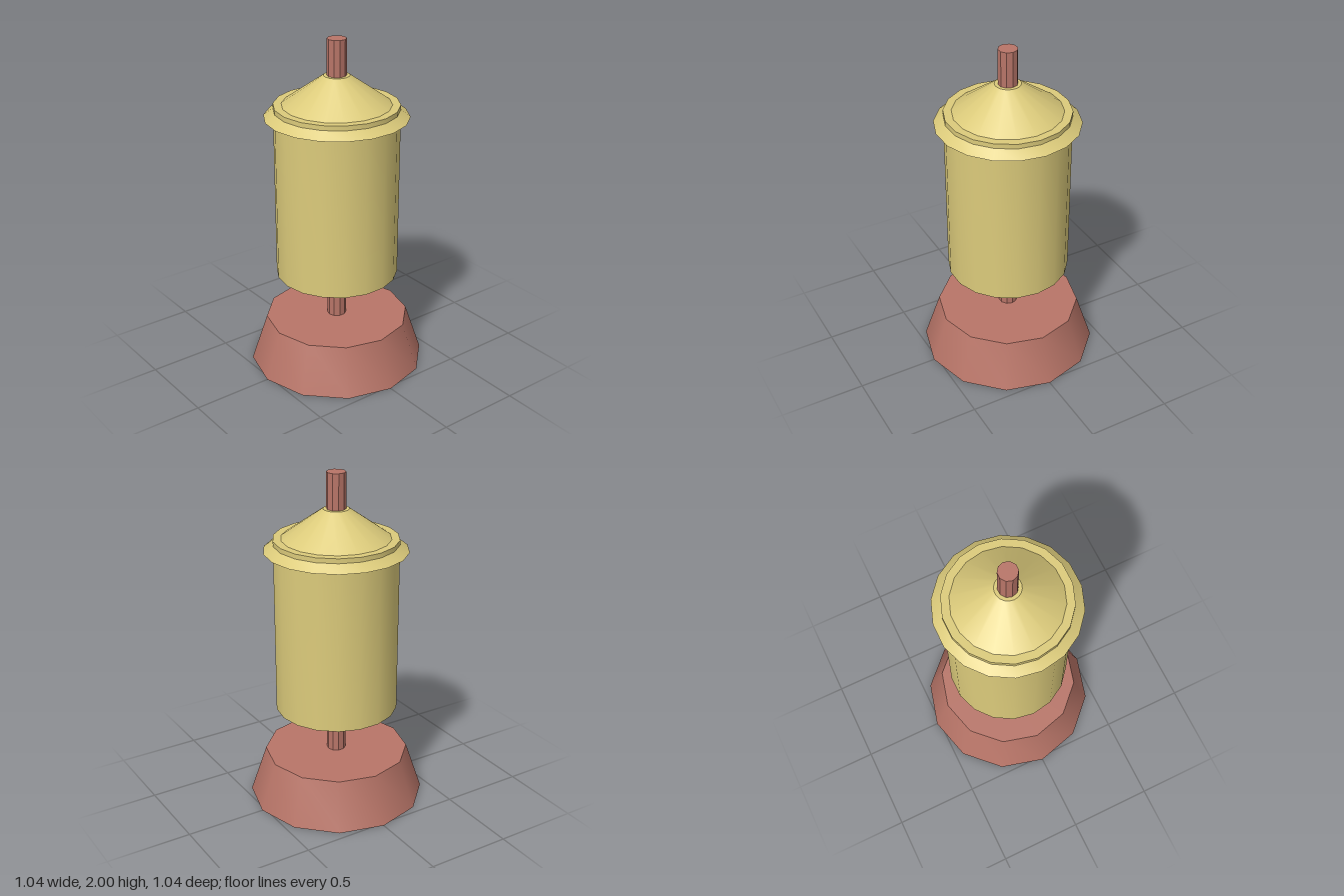
import * as THREE from 'three';
import { toCreasedNormals } from 'three/addons/utils/BufferGeometryUtils.js';

export function createModel() {
  const model = new THREE.Group();
  model.name = 'lantern';

  const yellow = new THREE.MeshStandardMaterial({ color: 0xdccb7b });
  yellow.name = 'pale yellow';
  const red = new THREE.MeshStandardMaterial({ color: 0xb87568 });
  red.name = 'brick red';

  // Turned part from [radius, height] points, listed bottom to top
  function turned(name, profile, sides, turn, material) {
    const points = profile.map(([r, y]) => new THREE.Vector2(r, y));
    const lathe = new THREE.LatheGeometry(points, sides);
    const mesh = new THREE.Mesh(toCreasedNormals(lathe, 0.56), material);
    mesh.name = name;
    mesh.rotation.y = turn;
    model.add(mesh);
  }

  // Tapered twelve-sided foot
  turned('base', [[0, 0], [0.522, 0], [0.427, 0.285], [0, 0.285]], 12, 0, red);

  // Rod running through the whole model
  turned('rod', [[0, 0.28], [0.056, 0.28], [0.056, 2], [0, 2]], 10, Math.PI / 2, red);

  // Drum body
  turned('body', [[0, 0.577], [0.361, 0.577], [0.361, 1.55], [0, 1.55]], 18, Math.PI / 2, yellow);

  // Lid: flared brim, upright band, flat rim and cone
  turned('lid', [
    [0, 1.55], [0.416, 1.55], [0.361, 1.592], [0.361, 1.62],
    [0.314, 1.62], [0.075, 1.79], [0, 1.79],
  ], 18, Math.PI / 2, yellow);

  return model;
}
